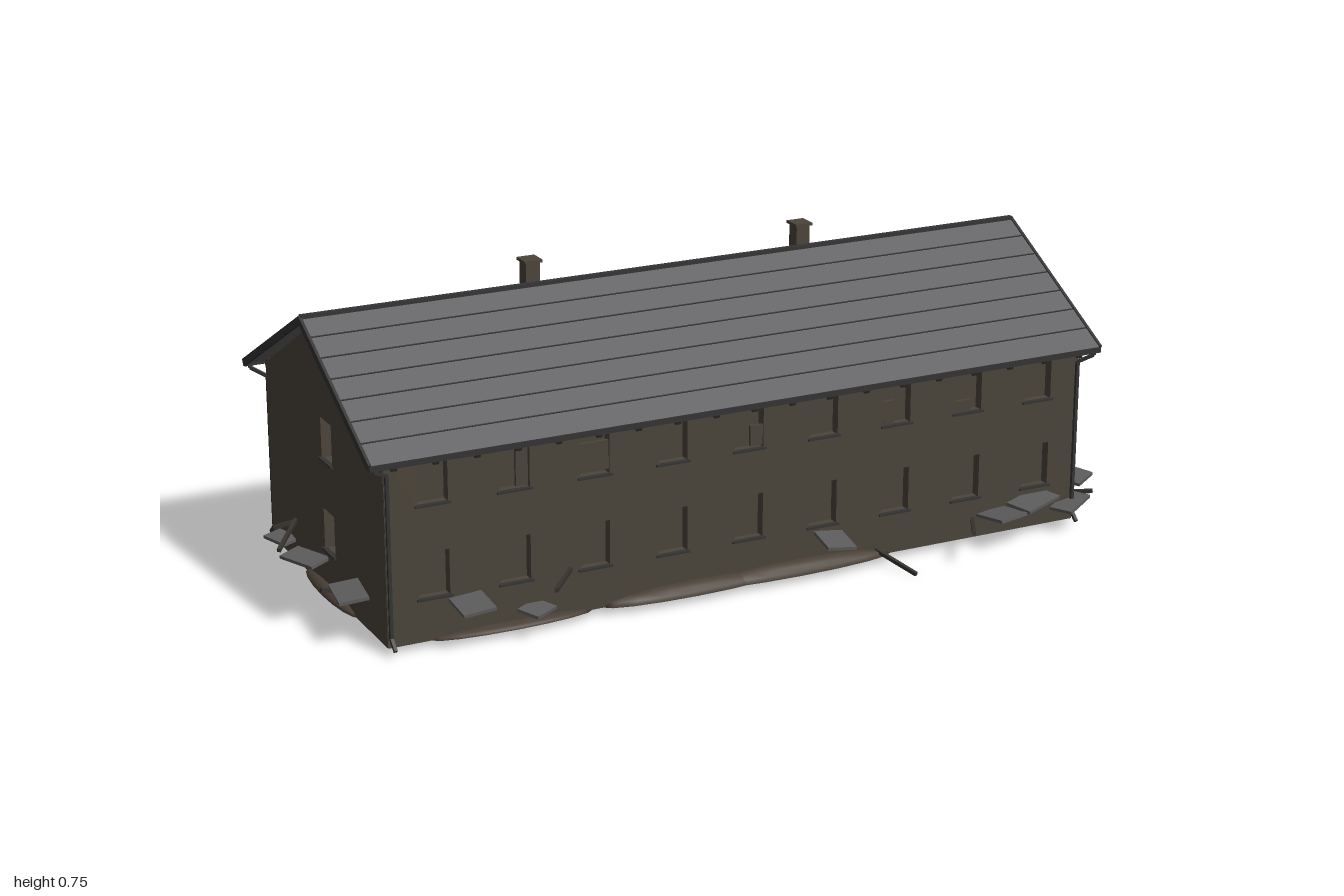
import * as THREE from 'three';

const mat = (name, color, side = THREE.FrontSide) => {
  const m = new THREE.MeshStandardMaterial({ color, side });
  m.name = name;
  return m;
};

export function createModel() {
  const model = new THREE.Group();
  model.name = 'longHouse';
  const wallMat = mat('plaster', 0x4b443a);
  const roofMat = mat('roofSheet', 0x636365);
  const trimMat = mat('darkMetal', 0x353434);
  const woodMat = mat('charredWood', 0x37342f);
  const rubbleMat = mat('rubble', 0x4a4036);
  const plateMat = mat('slabGrey', 0x5c5c5c);
  let seed = 7;
  const rnd = () => (seed = (seed * 16807) % 2147483647) / 2147483647;

  const add = (name, geo, m, parent = model) => {
    const mesh = new THREE.Mesh(geo, m);
    mesh.name = name;
    parent.add(mesh);
    return mesh;
  };
  const box = (name, m, w, h, d, x, y, z, rx = 0, ry = 0, rz = 0, parent = model) => {
    const b = add(name, new THREE.BoxGeometry(w, h, d), m, parent);
    b.position.set(x, y, z);
    b.rotation.set(rx, ry, rz);
    return b;
  };
  const bar = (name, m, a, b, w, h = w) => {
    const p = new THREE.Vector3(...a), q = new THREE.Vector3(...b);
    const mesh = add(name, new THREE.BoxGeometry(w, h, p.distanceTo(q)), m);
    mesh.position.copy(p).add(q).multiplyScalar(0.5);
    mesh.lookAt(q);
    return mesh;
  };

  // Walls: outlines with window openings, extruded inwards
  const CX = 0.01, HALF = 0.915, DEPTH = 0.385, BASE = 0.02, T = 0.025;
  const wall = (name, outline, holes, x, z, ry, half) => {
    const g = new THREE.Group();
    g.name = name;
    const shape = new THREE.Shape(outline.map(p => new THREE.Vector2(...p)));
    for (const [hx, y0, y1, w] of holes) {
      const r = w / 2;
      shape.holes.push(new THREE.Path([[hx - r, y0], [hx - r, y1], [hx + r, y1], [hx + r, y0]]
        .map(p => new THREE.Vector2(...p))));
      box('windowSill', trimMat, w + 0.012, 0.005, 0.012, hx, y0 - 0.002, 0, 0, 0, 0, g);
    }
    add('wallFace', new THREE.ExtrudeGeometry(shape, { depth: T, bevelEnabled: false }), wallMat, g).position.z = -T;
    box('windowBacking', wallMat, half * 2 - 0.02, 0.44, 0.004, 0, 0.25, -T - 0.002, 0, 0, 0, g);
    g.position.set(x, 0, z);
    g.rotation.y = ry;
    model.add(g);
    return g;
  };
  const rect = [[-HALF, BASE], [HALF, BASE], [HALF, 0.475], [-HALF, 0.475]];
  const frontHoles = [], backHoles = [];
  for (let i = -4; i <= 4; i++) {
    const x = i * 0.2;
    frontHoles.push([x, 0.35, 0.455, 0.075], [x, 0.125, 0.235, 0.075]);
    backHoles.push([x, 0.35, 0.455, 0.075]);
    if (Math.abs(i) !== 2) backHoles.push([x, 0.125, 0.235, 0.075]);
  }
  for (const x of [-0.375, 0.425]) backHoles.push([x, 0.05, 0.2, 0.08]);
  wall('frontWall', rect, frontHoles, CX, DEPTH, 0, HALF);
  wall('backWall', rect, backHoles, CX, -DEPTH, Math.PI, HALF);
  const g = 0.383;
  const gable = [[-g, BASE], [g, BASE], [g, 0.475], [0, 0.688], [-g, 0.475]];
  for (const s of [1, -1])
    wall(s > 0 ? 'leftGable' : 'rightGable', gable,
      [[-0.025 * s, 0.35, 0.45, 0.07], [-0.025 * s, 0.125, 0.225, 0.07]],
      CX + s * (HALF + 0.001), 0, s * Math.PI / 2, g);
  // Loose boards in a few front windows
  for (const [x, y, w, h] of [[-0.39, 0.395, 0.075, 0.07], [0.035, 0.38, 0.04, 0.05],
    [0.39, 0.38, 0.03, 0.06], [0.595, 0.365, 0.05, 0.03], [-0.57, 0.40, 0.03, 0.09]])
    box('windowBoard', wallMat, w, h, 0.008, x, y, DEPTH - 0.008);
  box('floor', rubbleMat, HALF * 2 - 0.03, 0.012, DEPTH * 2 - 0.03, CX, 0.045, 0);

  // Roof: chevron slab, lap seams, ridge and edge trims
  const RX = 0.008, RL = 1.915, SL = Math.atan2(0.225, 0.42), LEN = Math.hypot(0.225, 0.42);
  const chevron = new THREE.Shape([[0, 0.7], [-0.42, 0.475], [-0.42, 0.463], [0, 0.687], [0.42, 0.463], [0.42, 0.475]]
    .map(p => new THREE.Vector2(...p)));
  const roof = add('roof', new THREE.ExtrudeGeometry(chevron, { depth: RL, bevelEnabled: false }), roofMat);
  roof.rotation.y = Math.PI / 2;
  roof.position.x = RX - RL / 2;
  box('ridgeCap', trimMat, RL, 0.01, 0.014, RX, 0.7, 0);
  for (const s of [1, -1]) {
    const slope = new THREE.Group();
    slope.name = s > 0 ? 'frontSlopeTrim' : 'backSlopeTrim';
    slope.position.set(RX, 0.7, 0);
    slope.rotation.x = s * SL;
    model.add(slope);
    for (let i = 1; i < 7; i++)
      box('roofSeam', trimMat, RL - 0.01, 0.003, 0.003, 0, 0.0005, s * LEN * i / 7, 0, 0, 0, slope);
    for (const e of [1, -1])
      box('vergeBoard', trimMat, 0.007, 0.018, LEN, e * RL / 2, -0.006, s * LEN / 2, 0, 0, 0, slope);
    box('gutter', trimMat, RL, 0.014, 0.012, RX, 0.468, s * 0.417);
    for (let i = 0; i < 19; i++)
      box('rafterTail', woodMat, 0.014, 0.016, 0.035, -0.89 + i * 0.1, 0.466, s * 0.4, s * SL);
    // Downpipes at each corner
    for (const [x, o] of [[-0.9, -0.035], [0.92, 0.03]]) {
      const pts = [[x + o, 0.465, s * 0.415], [x + o, 0.455, s * 0.415], [x, 0.435, s * 0.391],
        [x, 0.045, s * 0.391], [x, 0.023, s * 0.415]];
      for (let i = 0; i < 4; i++) bar('downpipe', trimMat, pts[i], pts[i + 1], 0.008);
    }
  }

  // Chimneys with caps and their shafts' feet
  for (const x of [-0.355, 0.375]) {
    box('chimney', wallMat, 0.036, 0.1, 0.038, x, 0.695, -0.045);
    box('chimneyCap', wallMat, 0.046, 0.007, 0.048, x, 0.748, -0.045);
    box('chimneyFoot', wallMat, 0.09, 0.012, 0.09, x, 0.036, -0.03);
  }

  // Back entrances: canopy, posts and step
  for (const x of [-0.435, 0.365]) {
    box('canopy', plateMat, 0.165, 0.007, 0.115, x, 0.222, -0.44);
    box('entranceStep', wallMat, 0.13, 0.03, 0.105, x, 0.035, -0.434);
    for (const s of [1, -1]) box('doorPost', trimMat, 0.006, 0.15, 0.006, x + s * 0.045, 0.125, -0.388);
  }

  // Low rubble mounds along the walls
  for (const [x, z, rx, ry, rz] of [[-0.14, 0.385, 0.23, 0.028, 0.035], [0.14, 0.385, 0.26, 0.03, 0.035],
    [-0.6, 0.385, 0.2, 0.012, 0.03], [0.92, 0, 0.035, 0.012, 0.17], [-0.9, 0.02, 0.03, 0.02, 0.17],
    [0.0, -0.385, 0.22, 0.025, 0.03]]) {
    const m = add('rubbleMound', new THREE.SphereGeometry(1, 16, 4, 0, Math.PI * 2, 0, Math.PI / 2), rubbleMat);
    m.scale.set(rx, ry, rz);
    m.position.set(x, BASE, z);
  }

  // Fallen slabs: x, y, z, width, depth, tilt, turn
  for (const [x, y, z, w, d, tx, ty, tz] of [
    [-0.717, 0.11, 0.43, 0.08, 0.09, 0.1, 0, 0.08], [-0.55, 0.06, 0.41, 0.07, 0.06, 0.1, 0.5, 0],
    [0.22, 0.1, 0.43, 0.075, 0.09, 0.12, -0.1, -0.1], [0.69, 0.085, 0.43, 0.085, 0.09, -0.1, 0.2, 0.05],
    [0.79, 0.1, 0.415, 0.13, 0.07, 0.1, 0.4, 0], [0.91, 0.07, 0.40, 0.1, 0.06, 0, 0.5, 0.15],
    [0.95, 0.12, 0.36, 0.07, 0.06, 0.1, 0.5, 0.1], [-0.76, 0.13, -0.42, 0.08, 0.06, 0.12, 0.5, 0],
    [-0.075, 0.095, -0.43, 0.07, 0.09, -0.1, 0, 0.05], [0.13, 0.12, -0.41, 0.05, 0.06, 0.1, -0.6, 0],
    [0.75, 0.06, -0.41, 0.08, 0.05, 0, 0.3, 0.1], [-0.95, 0.1, -0.03, 0.06, 0.11, 0, 0.4, 0.12],
    [-0.95, 0.12, 0.26, 0.07, 0.12, 0, -0.15, 0.1], [-0.93, 0.07, -0.25, 0.05, 0.08, 0, 0.3, 0.1]])
    box('fallenSlab', plateMat, w, 0.008, d, x, y, z, tx, ty, tz);
  box('leaningSheet', plateMat, 0.07, 0.09, 0.006, 0.945, 0.35, -0.37, 0.1, 0.35, 0.3);

  // Scattered beams
  for (const [a, b] of [
    [[-0.46, 0.138, 0.4], [-0.56, 0.155, 0.54]], [[0.36, 0.035, 0.38], [0.403, 0.007, 0.505]],
    [[0.63, 0.07, 0.39], [0.55, 0.093, 0.525]], [[-0.43, 0.055, -0.38], [-0.42, 0.07, -0.55]],
    [[-0.91, 0.13, -0.2], [-0.99, 0.1, -0.1]], [[-0.9, 0.11, -0.24], [-0.98, 0.14, -0.15]],
    [[-0.9, 0.09, 0.19], [-0.995, 0.11, 0.2]], [[0.92, 0.07, 0.32], [0.99, 0.08, 0.38]],
    [[0.66, 0.12, -0.38], [0.65, 0.13, -0.43]], [[-0.25, 0.14, -0.38], [-0.25, 0.13, -0.44]]])
    bar('fallenBeam', woodMat, a, b, 0.009);

  // Chipped fragments in a ring on the left gable
  for (let i = 0; i < 48; i++) {
    const a = rnd() * Math.PI * 2, r = 0.13 + rnd() * 0.06, s = 0.003 + rnd() * 0.006;
    box('plasterChip', woodMat, 0.006 + rnd() * 0.014, s, s, 0.928, 0.26 + Math.sin(a) * r,
      -0.08 - Math.cos(a) * r, rnd() * 3, 0, 0);
  }
  return model;
}
